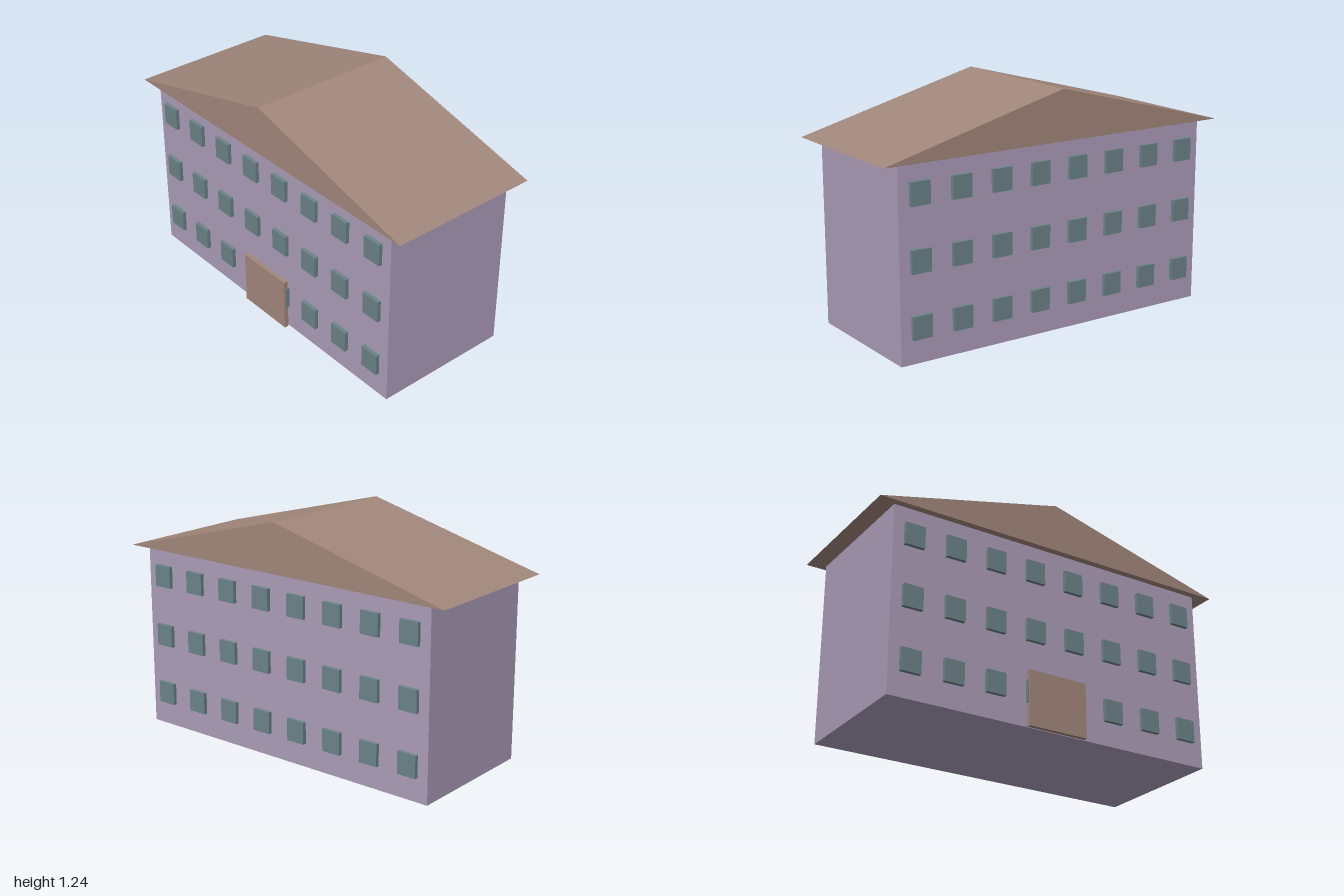
import * as THREE from 'three';

export function createModel() {
  const wallMat = new THREE.MeshStandardMaterial({ name: 'mauve wall', color: 0xab9cb8 });
  const brownMat = new THREE.MeshStandardMaterial({ name: 'brown roof and door', color: 0xa1877b });
  const glassMat = new THREE.MeshStandardMaterial({ name: 'teal window', color: 0x6a8388 });

  const model = new THREE.Group();
  model.name = 'building';

  const add = (name, geometry, material, x, y, z, parent = model) => {
    const mesh = new THREE.Mesh(geometry, material);
    mesh.name = name;
    mesh.position.set(x, y, z);
    parent.add(mesh);
    return mesh;
  };

  // Main block
  const wallTop = 0.978, wallDepth = 0.746;
  add('walls', new THREE.BoxGeometry(1.814, wallTop, wallDepth), wallMat, 0, wallTop / 2, 0);

  // Gabled roof: ridge runs front to back, with overhanging eaves
  const roofDepth = 0.82;
  const gable = new THREE.Shape([
    new THREE.Vector2(-1, 0),
    new THREE.Vector2(1, 0),
    new THREE.Vector2(0, 0.26),
  ]);
  const roofGeo = new THREE.ExtrudeGeometry(gable, { depth: roofDepth, bevelEnabled: false });
  add('roof', roofGeo, brownMat, 0, wallTop, -roofDepth / 2);

  // Entrance door, standing just proud of the front wall
  add('door', new THREE.BoxGeometry(0.326, 0.287, 0.023), brownMat, 0, 0.1435, 0.392);

  // Three rows of eight windows on the front and the back
  const windowGeo = new THREE.BoxGeometry(0.105, 0.116, 0.02);
  for (const side of [1, -1]) {
    const windows = new THREE.Group();
    windows.name = side > 0 ? 'frontWindows' : 'backWindows';
    model.add(windows);
    for (const y of [0.183, 0.507, 0.832]) {
      for (let i = 0; i < 8; i++) {
        add('window', windowGeo, glassMat, (i - 3.5) * 0.2275, y, side * 0.383, windows);
      }
    }
  }

  return model;
}
